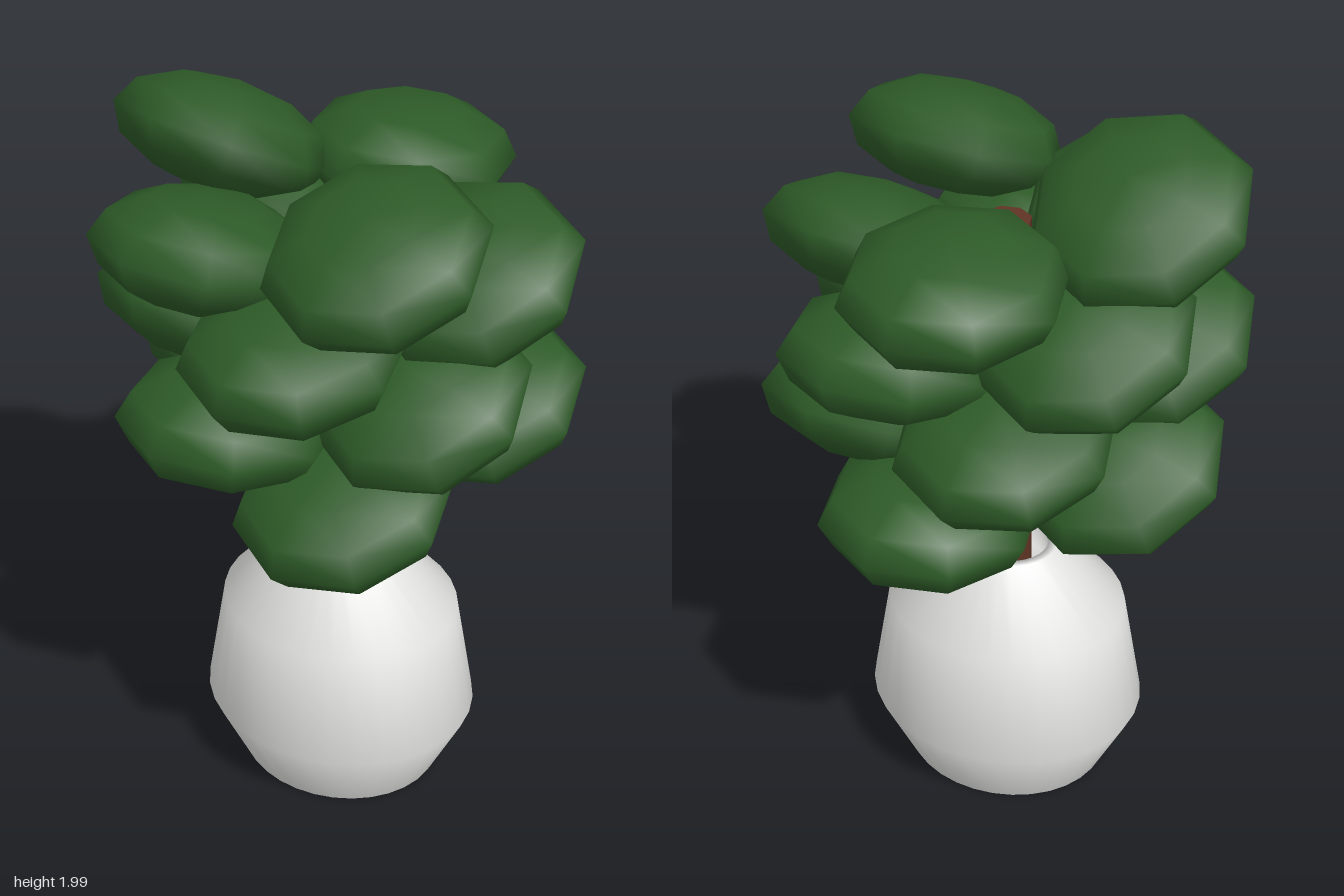
import * as THREE from 'three';

const flat = (name, color, side = THREE.FrontSide) => {
  const material = new THREE.MeshStandardMaterial({ color, side });
  material.name = name;
  return material;
};

export function createModel() {
  const model = new THREE.Group();
  model.name = 'pottedTree';
  const white = flat('potWhite', 0xe2e2e0, THREE.DoubleSide);
  const brown = flat('barkBrown', 0x5f3424);
  const green = flat('leafGreen', 0x2d5a27);

  const add = (name, geometry, material, parent = model) => {
    const mesh = new THREE.Mesh(geometry, material);
    mesh.name = name;
    parent.add(mesh);
    return mesh;
  };

  // Slightly oval vase, with a narrow mouth and an inner lip
  const profile = [
    [0, 0], [0.286, 0], [0.286, 0], [0.387, 0.2], [0.335, 0.51],
    [0.143, 0.704], [0.118, 0.704], [0.118, 0.62], [0, 0.62],
  ].map(([r, y]) => new THREE.Vector2(r, y));
  const pot = add('pot', new THREE.LatheGeometry(profile, 32), white);
  pot.scale.x = 0.9;
  pot.position.set(-0.005, 0, 0.004);

  // Trunk
  const trunk = add('trunk', new THREE.CylinderGeometry(0.066, 0.071, 1.15, 8), brown);
  trunk.scale.x = 0.93;
  trunk.position.set(-0.006, 1.125, 0.004);

  // Flattened leaf clumps climbing in a golden-angle spiral
  const crown = new THREE.Group();
  crown.name = 'crown';
  crown.position.set(-0.005, 0, 0.002);
  model.add(crown);
  const clump = new THREE.SphereGeometry(0.29, 8, 6).scale(1, 0.5, 1);
  const count = 16;
  const goldenAngle = THREE.MathUtils.degToRad(137.5);
  for (let i = 0; i < count; i++) {
    const a = i * goldenAngle;
    const leaf = add('leafClump' + (i + 1), clump, green, crown);
    leaf.position.set(0.36 * Math.cos(a), 1.01 + (0.8 * i) / (count - 1), 0.36 * Math.sin(a));
    leaf.rotation.z = 0.5 * Math.sin(a);
  }
  return model;
}
